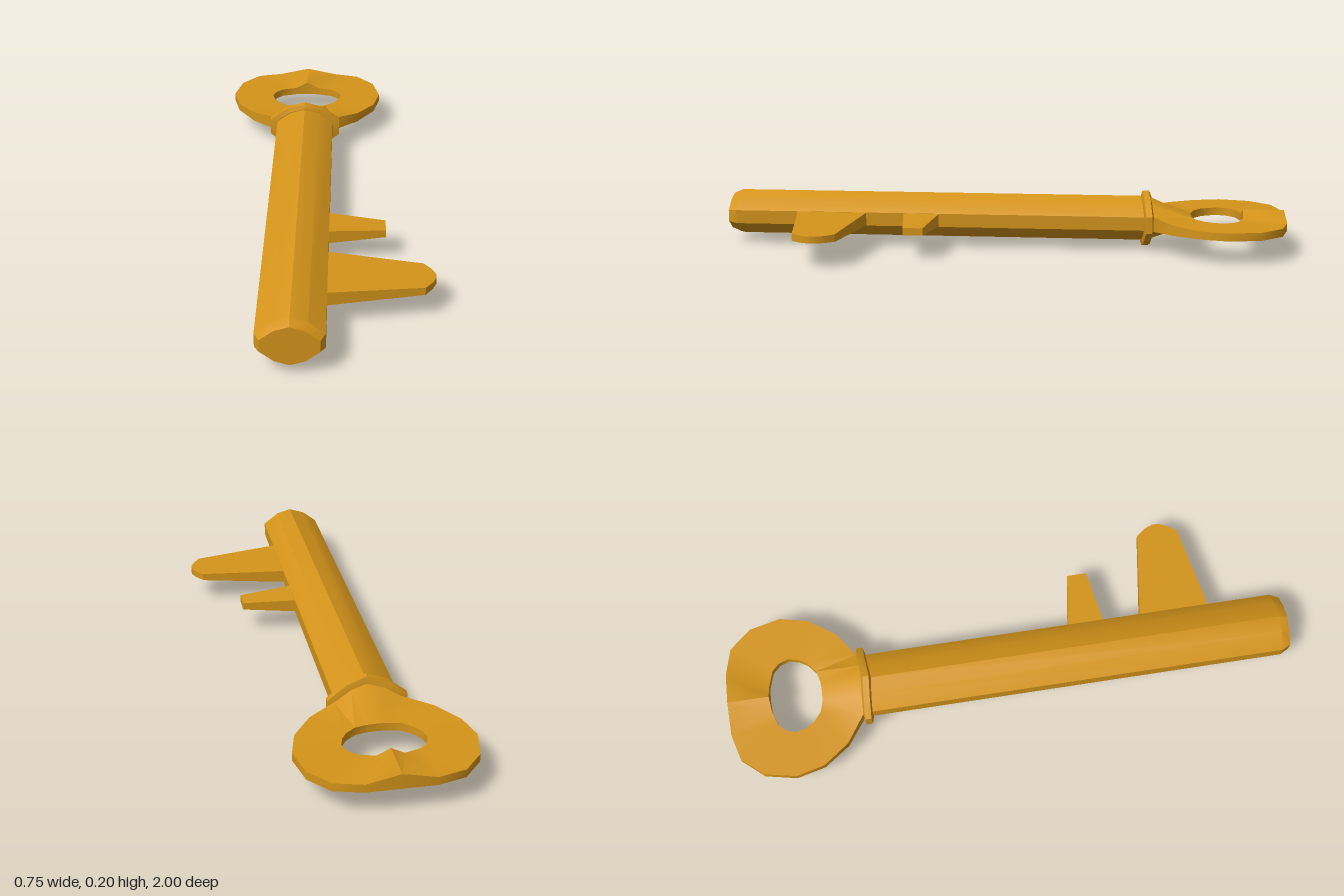
import * as THREE from 'three';
import { toCreasedNormals } from 'three/addons/utils/BufferGeometryUtils.js';

const AX = -0.08, AY = 0.104; // centre line of the shaft
const material = new THREE.MeshStandardMaterial({ color: 0xd4941a });

// Joins cross-sections (arrays of [x, y, z]); either capped or closed into a ring.
function loft(name, rings, ring = false, crease = 0.4) {
  const n = rings[0].length, m = rings.length;
  const p = rings.flat();
  let tris = [];
  for (let j = 0; j < (ring ? m : m - 1); j++) {
    for (let i = 0; i < n; i++) {
      const k = (i + 1) % n, a = j * n, b = ((j + 1) % m) * n;
      tris.push([a + i, a + k, b + k], [a + i, b + k, b + i]);
    }
  }
  if (!ring) {
    const e = (m - 1) * n;
    for (let i = 1; i < n - 1; i++) tris.push([0, i + 1, i], [e, e + i, e + i + 1]);
  }
  // Turn the faces outward if the enclosed volume is negative
  const vol = tris.reduce((s, [a, b, c]) => {
    const [A, B, C] = [a, b, c].map((q) => new THREE.Vector3(...p[q]));
    return s + A.dot(B.cross(C));
  }, 0);
  if (vol < 0) tris = tris.map(([a, b, c]) => [a, c, b]);
  const g = new THREE.BufferGeometry();
  g.setAttribute('position', new THREE.Float32BufferAttribute(p.flat(), 3));
  g.setIndex(tris.flat());
  const mesh = new THREE.Mesh(toCreasedNormals(g, crease), material);
  mesh.name = name;
  return mesh;
}

// Ten-sided section shared by the shaft and collar
const quarter = [[0.107, 0.024], [0.055, 0.064], [0, 0.081]];
const section = [
  ...quarter,
  ...[[-0.055, 0.064], [-0.107, 0.024]],
  ...[[-0.107, -0.024], [-0.055, -0.064], [0, -0.081], [0.055, -0.064], [0.107, -0.024]],
];
const slice = (z, sx, sy, bend = 0) =>
  section.map(([x, y]) => [AX + x * sx, AY + y * sy, z - bend * Math.abs(x)]);

// Tapered tooth: rows of [x, zMin, zMax, halfThickness]
const bit = (name, rows) => loft(name, rows.map(([x, z0, z1, h]) => [
  [x, AY - h, z0], [x, AY + h, z0], [x, AY + h, z1], [x, AY - h, z1],
]));

function createBow() {
  // outer x, outer z, outer top, outer bottom, inner x, inner z, inner top
  const half = [
    [0, -0.515, 0.081, 0.081, 0, -0.67, 0.014],
    [0.055, -0.522, 0.064, 0.064, 0.035, -0.672, 0.014],
    [0.112, -0.535, 0.026, 0.026, 0.075, -0.682, 0.014],
    [0.205, -0.6, 0.018, 0.018, 0.11, -0.71, 0.014],
    [0.27, -0.69, 0.014, 0.014, 0.128, -0.74, 0.014],
    [0.294, -0.79, 0.014, 0.014, 0.137, -0.775, 0.014],
    [0.27, -0.9, 0.014, 0.014, 0.125, -0.81, 0.014],
    [0.205, -0.975, 0.014, 0.014, 0.1, -0.835, 0.014],
    [0.112, -1, 0.014, 0.014, 0.045, -0.852, 0.014],
    [0, -1, 0.038, 0.014, 0, -0.855, 0.038],
  ];
  const mirrored = half.slice(1, -1).reverse().map((r) => r.map((v, i) => (i === 0 || i === 4 ? -v : v)));
  const rings = [...half, ...mirrored].map(([ox, oz, ot, ob, ix, iz, it]) => [
    [AX + ox, AY - ob, oz], [AX + ox, AY + ot, oz],
    [AX + ix, AY + it, iz], [AX + ix, AY - 0.014, iz],
  ]);
  return loft('bow', rings, true, 0.6);
}

export function createModel() {
  const key = new THREE.Group();
  key.name = 'key';

  // Long shaft with a bevelled tip
  key.add(loft('shaft', [slice(-0.51, 1, 1), slice(0.968, 1, 1), slice(1, 0.85, 0.83)]));

  // Thin collar, its sides swept slightly back
  key.add(loft('collar', [
    slice(-0.523, 1.05, 1.03, 0.12), slice(-0.518, 1.25, 1.24, 0.12),
    slice(-0.496, 1.25, 1.24, 0.12), slice(-0.49, 1.05, 1.03, 0.12),
  ]));

  // Ring handle that flares up to the collar
  key.add(createBow());

  // Two teeth on the left side
  key.add(bit('smallBit', [[0, 0.225, 0.36, 0.024], [0.218, 0.26, 0.33, 0.013]]));
  key.add(bit('largeBit', [
    [0, 0.487, 0.745, 0.024], [0.335, 0.542, 0.69, 0.013],
    [0.36, 0.575, 0.655, 0.012], [0.372, 0.605, 0.625, 0.012],
  ]));
  return key;
}
